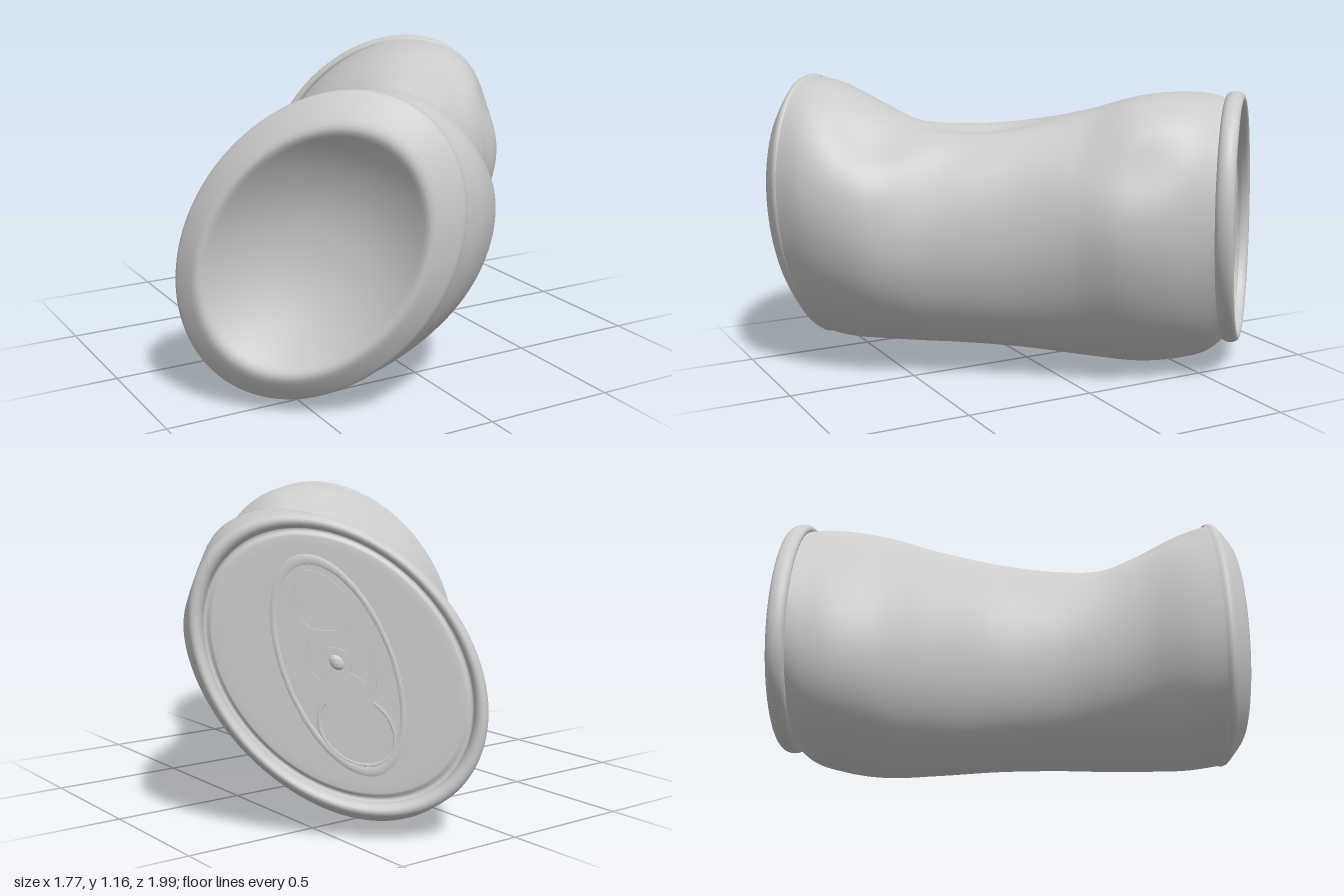
import * as THREE from 'three';
import { toCreasedNormals } from 'three/addons/utils/BufferGeometryUtils.js';

const SEG = 120;
const rad = THREE.MathUtils.degToRad;

// Can frame: u across, v up, w along the can from base to lid
const point = (u, v, w) => new THREE.Vector3(0.751 * u + 0.661 * w, v, 0.661 * u - 0.751 * w);

// Squashed, sheared disc section: s = [uMin, uMax, vMin, vMax, shear]
function onDisc(s, a, b, w) {
  const hu = (s[1] - s[0]) / 2, hv = (s[3] - s[2]) / 2;
  const u = (s[0] + s[1]) / 2 + hu * (a * Math.sqrt(1 - s[4] * s[4]) + b * s[4]);
  return point(u, (s[2] + s[3]) / 2 + hv * b, w);
}

const BASE = [-0.445, 0.563, 0.05, 1.155, 0.28];
const LID = [-0.56, 0.452, 0.08, 1.115, 0.3];

// Sections of the crushed wall: w, then uMin, uMax, vMin, vMax, shear
const sections = [
  [-0.83, -0.44, 0.558, 0.055, 1.15, 0.28],
  [-0.70, -0.385, 0.615, 0.055, 1.135, 0.28],
  [-0.52, -0.275, 0.63, 0.08, 1.065, 0.25],
  [-0.38, -0.225, 0.6, 0.09, 1.0, 0.22],
  [-0.20, -0.205, 0.55, 0.092, 0.985, 0.2],
  [0.05, -0.245, 0.51, 0.075, 1.0, 0.2],
  [0.28, -0.37, 0.515, 0.03, 1.045, 0.27],
  [0.47, -0.485, 0.545, 0.0, 1.1, 0.32],
  [0.62, -0.525, 0.51, 0.01, 1.115, 0.33],
  [0.73, -0.525, 0.45, 0.045, 1.105, 0.32],
  [0.80, -0.52, 0.41, 0.11, 1.08, 0.3],
];
const wall = new THREE.CubicInterpolant(
  sections.map((r) => r[0]), sections.flatMap((r) => r.slice(1)), 5, new Float32Array(5));

// Dents: angle, w, depth, angular spread, length spread, skew of w with angle
const dents = [
  [84, -0.1, 0.06, 9, 0.2, 0],
  [56, -0.5, 0.09, 20, 0.13, 0],
  [125, -0.6, 0.04, 16, 0.16, -0.3],
  [30, -0.27, 0.035, 26, 0.11, 0.2],
  [38, 0.5, 0.07, 18, 0.17, 0],
  [62, 0.3, 0.025, 14, 0.15, 0.2],
  [200, -0.15, 0.04, 30, 0.25, 0],
  [110, 0.05, -0.015, 14, 0.25, 0],
];
function dentScale(t, w) {
  const fade = THREE.MathUtils.smoothstep(w, -0.83, -0.72) * (1 - THREE.MathUtils.smoothstep(w, 0.62, 0.76));
  let r = 1;
  for (const [angle, w0, depth, spread, length, skew] of dents) {
    const d = t - rad(angle);
    const dt = Math.atan2(Math.sin(d), Math.cos(d));
    r -= fade * depth * Math.exp(-((dt / rad(spread)) ** 2) - (((w - w0 - skew * dt) / length) ** 2));
  }
  return r;
}

// Skin a row of closed rings; at(i, t) gives the point on ring i
function loft(rings, at) {
  const pos = [], index = [];
  for (let i = 0; i < rings; i++) {
    for (let j = 0; j < SEG; j++) {
      pos.push(...at(i, (j / SEG) * Math.PI * 2).toArray());
      if (i === rings - 1) continue;
      const a = i * SEG + j, b = i * SEG + (j + 1) % SEG;
      index.push(a, a + SEG, b, b, a + SEG, b + SEG);
    }
  }
  const g = new THREE.BufferGeometry();
  g.setAttribute('position', new THREE.Float32BufferAttribute(pos, 3));
  g.setIndex(index);
  g.computeVertexNormals();
  return g;
}

// Turn a profile of [scale, w] around a fixed section
const turned = (section, profile) => loft(profile.length, (i, t) => {
  const [r, w] = profile[i];
  return onDisc(section, r * Math.cos(t), r * Math.sin(t), w);
});

// Lay a flat geometry (x, y, thickness z) on the lid panel
function onLid(geometry, w0) {
  const p = geometry.attributes.position;
  for (let i = 0; i < p.count; i++) {
    const q = onDisc(LID, -p.getX(i), p.getY(i), w0 + p.getZ(i));
    p.setXYZ(i, q.x, q.y, q.z);
  }
  geometry.computeVertexNormals();
  return toCreasedNormals(geometry, 0.6);
}

function roundedHole(x, y, w, h, r) {
  const s = new THREE.Path();
  s.moveTo(x - w + r, y - h);
  s.lineTo(x + w - r, y - h); s.quadraticCurveTo(x + w, y - h, x + w, y - h + r);
  s.lineTo(x + w, y + h - r); s.quadraticCurveTo(x + w, y + h, x + w - r, y + h);
  s.lineTo(x - w + r, y + h); s.quadraticCurveTo(x - w, y + h, x - w, y + h - r);
  s.lineTo(x - w, y - h + r); s.quadraticCurveTo(x - w, y - h, x - w + r, y - h);
  return s;
}

export function createModel() {
  const model = new THREE.Group();
  model.name = 'crushedCan';
  const material = new THREE.MeshStandardMaterial({ color: 0xcccccc, side: THREE.DoubleSide });
  const add = (name, geometry) => {
    const mesh = new THREE.Mesh(geometry, material);
    mesh.name = name;
    model.add(mesh);
  };

  // Crumpled side wall
  const rings = 110;
  add('wall', loft(rings, (i, t) => {
    const w = -0.83 + 1.63 * i / (rings - 1);
    const r = dentScale(t, w);
    return onDisc(wall.evaluate(w), r * Math.cos(t), r * Math.sin(t), w);
  }));

  // Base: hollow dome, softly rounded foot and bevel
  const base = [];
  for (let i = 0; i <= 16; i++) {
    const r = 0.72 * i / 16;
    base.push([Math.max(r, 0.001), -0.74 - 0.14 * (r / 0.72) ** 2.2]);
  }
  base.push([0.745, -0.892], [0.77, -0.901], [0.795, -0.904], [0.82, -0.9], [0.85, -0.892],
    [0.91, -0.87], [0.97, -0.846], [0.99, -0.836], [1, -0.826], [1, -0.816], [0.985, -0.805]);
  add('base', turned(BASE, base));

  // Rolled rim around the lid
  const rim = [];
  for (let i = 0; i <= 20; i++) {
    const a = (i / 20) * Math.PI * 2;
    rim.push([0.952 - 0.048 * Math.cos(a), 0.815 - 0.034 * Math.sin(a)]);
  }
  add('rim', turned(LID, rim));

  // Sunken lid panel with a shallow groove at its edge
  add('lidPanel', turned(LID, [[0.925, 0.825], [0.912, 0.805], [0.905, 0.792], [0.895, 0.788], [0.88, 0.79],
    [0.865, 0.797], [0.85, 0.8], [0.8, 0.8], [0.4, 0.8], [0.001, 0.8]]));

  // Pull tab with finger hole and rivet window
  const tab = new THREE.Shape();
  tab.absellipse(0, 0.14, 0.27, 0.49, 0, Math.PI * 2);
  tab.holes.push(roundedHole(0, 0.4, 0.16, 0.16, 0.12));
  const arch = new THREE.Path();
  arch.absarc(0, 0.03, 0.2, rad(-40), rad(220), false);
  arch.absarc(0, 0.03, 0.1, rad(220), rad(-40), true);
  tab.holes.push(arch);
  add('pullTab', onLid(new THREE.ExtrudeGeometry(tab, { depth: 0.01, bevelEnabled: false, curveSegments: 32 }), 0.8));

  // Rivet
  const rivet = new THREE.SphereGeometry(0.05, 20, 12);
  rivet.scale(1, 1, 0.2);
  add('rivet', onLid(rivet.translate(0, 0.03, 0.01), 0.8));

  // Faint beads around the opening and the tab recess
  const bead = (rx, ry, y) => {
    const g = new THREE.TorusGeometry(1, 0.05, 8, 64);
    return onLid(g.scale(rx, ry, 0.06).translate(0, y, 0), 0.8);
  };
  add('openingScore', bead(0.26, 0.24, -0.42));
  add('tabRecessBead', bead(0.4, 0.7, 0));

  return model;
}
